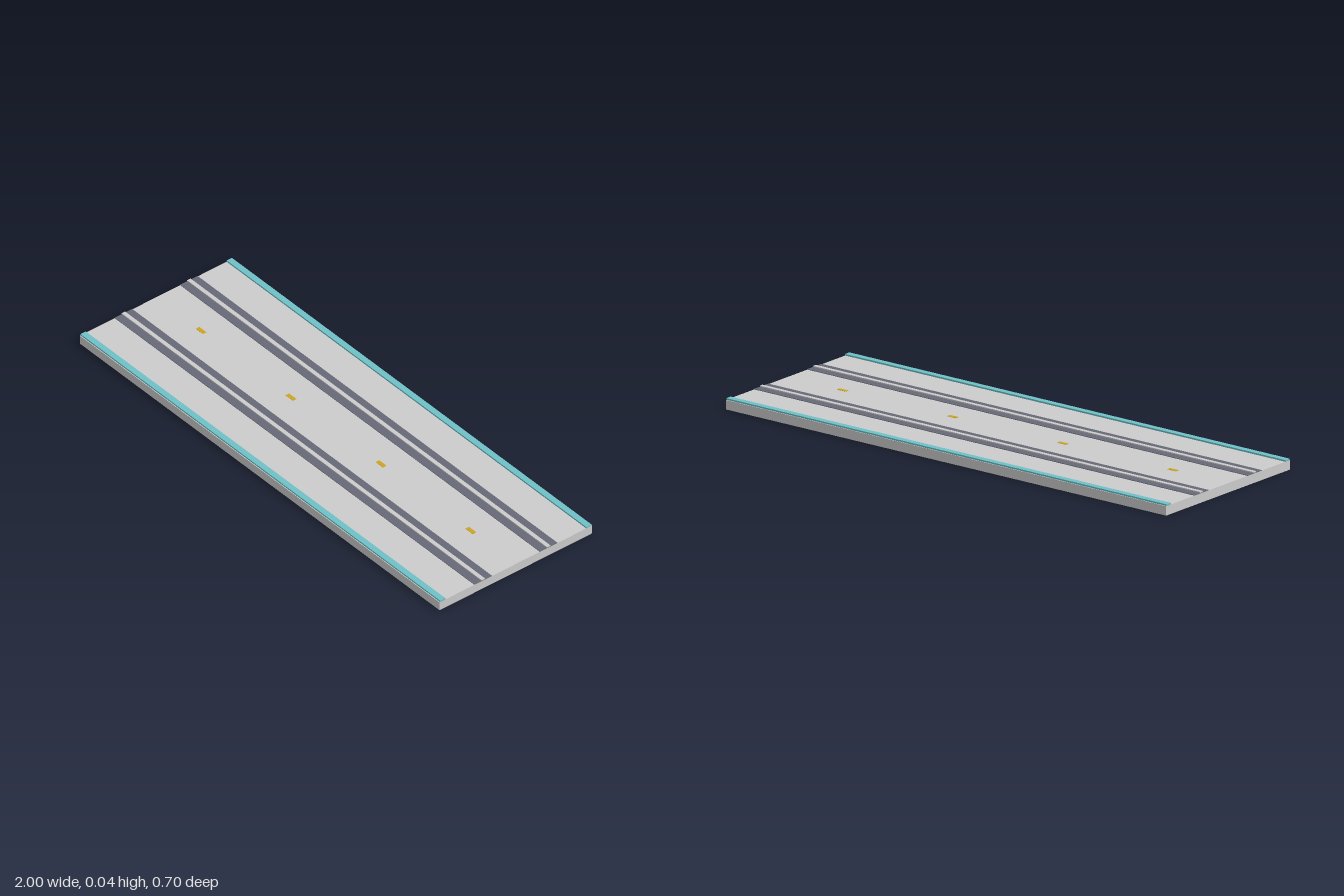
import * as THREE from 'three';

const material = (color) => new THREE.MeshStandardMaterial({ color });

export function createModel() {
  const group = new THREE.Group();
  const grey = material(0xcccccc);
  const dark = material(0x666a76);
  const teal = material(0x6ec1c6);
  const yellow = material(0xcda41f);

  const DECK = 0.035; // top of the slab

  // Box placed by its centre in x and z and by its bottom in y
  function box(name, mat, [w, h, d], [x, y, z]) {
    const mesh = new THREE.Mesh(new THREE.BoxGeometry(w, h, d), mat);
    mesh.name = name;
    mesh.position.set(x, y + h / 2, z);
    group.add(mesh);
  }

  box('deckSlab', grey, [2, DECK, 0.7], [0, 0, 0]);

  // Mirrored edge strips and tracks
  for (const [side, s] of [['front', 1], ['back', -1]]) {
    box(`${side}EdgeStrip`, teal, [2, 0.006, 0.024], [0, DECK, s * 0.335]);
    box(`${side}TrackBed`, dark, [2, 0.002, 0.08], [0, DECK, s * 0.15]);
    box(`${side}Rail`, grey, [2, 0.004, 0.016], [0, DECK + 0.002, s * 0.15]);
  }

  // Centre line markers
  [-0.75, -0.25, 0.25, 0.75].forEach((x, i) =>
    box(`centreMarker${i + 1}`, yellow, [0.04, 0.001, 0.016], [x, DECK, 0]));

  return group;
}
